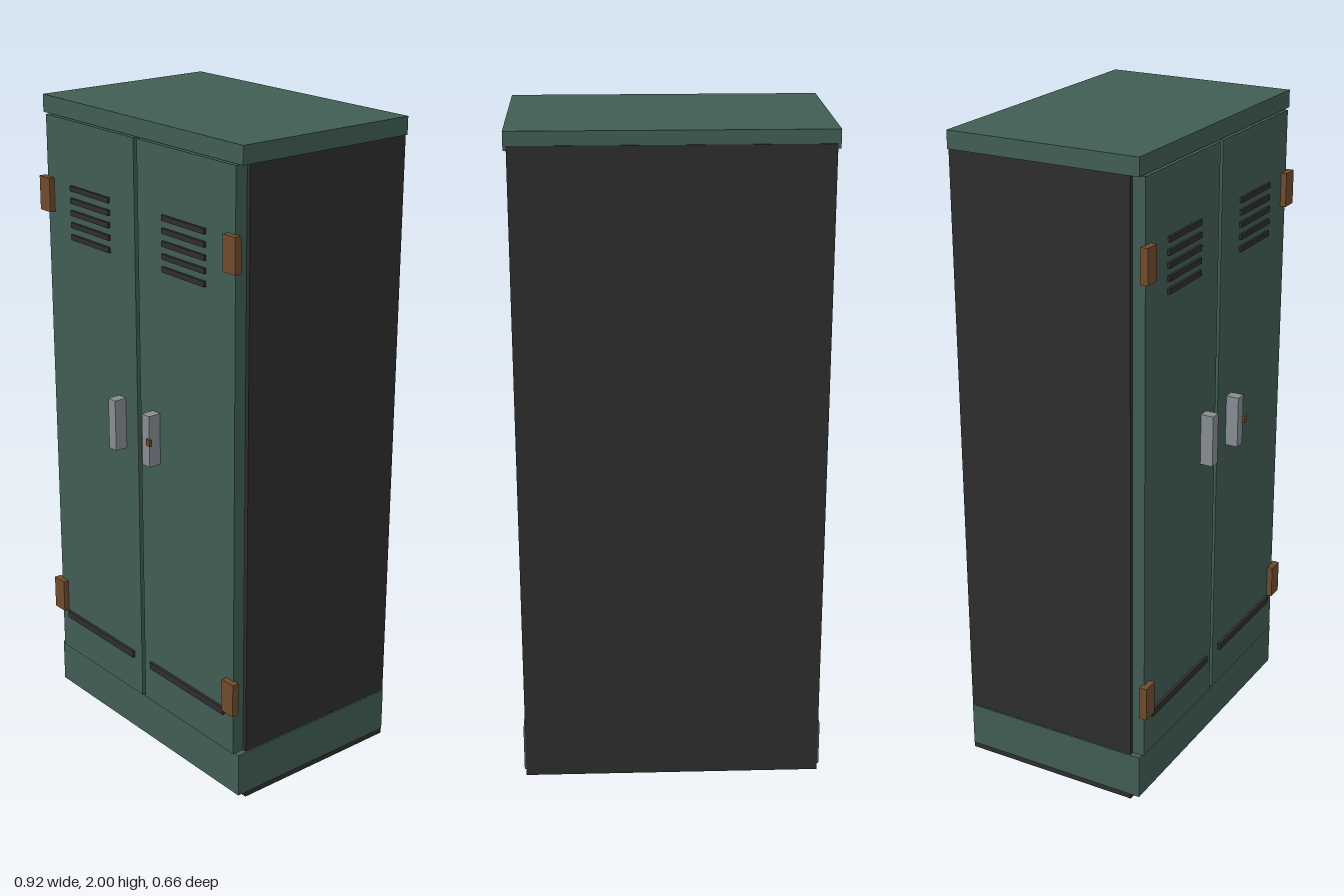
import * as THREE from 'three';

const paint = (name, color) => {
  const m = new THREE.MeshStandardMaterial({ color });
  m.name = name;
  return m;
};

export function createModel() {
  const green = paint('green paint', 0x415d53);
  const dark = paint('dark steel', 0x2d2d2d);
  const bronze = paint('bronze', 0x6f4a2c);
  const grey = paint('grey metal', 0x868d92);

  const locker = new THREE.Group();
  locker.name = 'locker';

  // Box given by its lower and upper limits on each axis
  const box = (name, material, [x0, x1], [y0, y1], [z0, z1]) => {
    const mesh = new THREE.Mesh(new THREE.BoxGeometry(x1 - x0, y1 - y0, z1 - z0), material);
    mesh.position.set((x0 + x1) / 2, (y0 + y1) / 2, (z0 + z1) / 2);
    mesh.name = name;
    locker.add(mesh);
  };
  // The same box on both sides
  const pair = (name, material, [x0, x1], y, z) => {
    box(name + 'Left', material, [x0, x1], y, z);
    box(name + 'Right', material, [-x1, -x0], y, z);
  };

  // Cabinet shell, plinth and top
  box('cabinetBody', dark, [-0.452, 0.452], [0, 1.96], [-0.33, 0.243]);
  box('plinth', green, [-0.457, 0.457], [0.02, 0.16], [-0.327, 0.275]);
  box('topCap', green, [-0.461, 0.461], [1.947, 2], [-0.328, 0.276]);

  // Doors
  pair('door', green, [0.008, 0.439], [0.16, 1.944], [0.243, 0.282]);

  // Vent slats
  for (let i = 0; i < 5; i++) {
    const y = 1.594 + i * 0.0372;
    pair('ventSlat' + (i + 1), dark, [0.126, 0.315], [y - 0.008, y + 0.008], [0.28, 0.29]);
  }

  // Lower trim strips
  pair('lowerStrip', dark, [0.044, 0.4], [0.28, 0.302], [0.28, 0.291]);

  // Hinges
  pair('lowerHinge', bronze, [0.407, 0.458], [0.302, 0.408], [0.277, 0.3]);
  pair('upperHinge', bronze, [0.407, 0.458], [1.654, 1.758], [0.277, 0.3]);

  // Handles and latch
  pair('handle', grey, [0.066, 0.1], [0.99, 1.15], [0.28, 0.322]);
  box('latch', bronze, [0.094, 0.112], [1.06, 1.081], [0.322, 0.33]);

  return locker;
}
